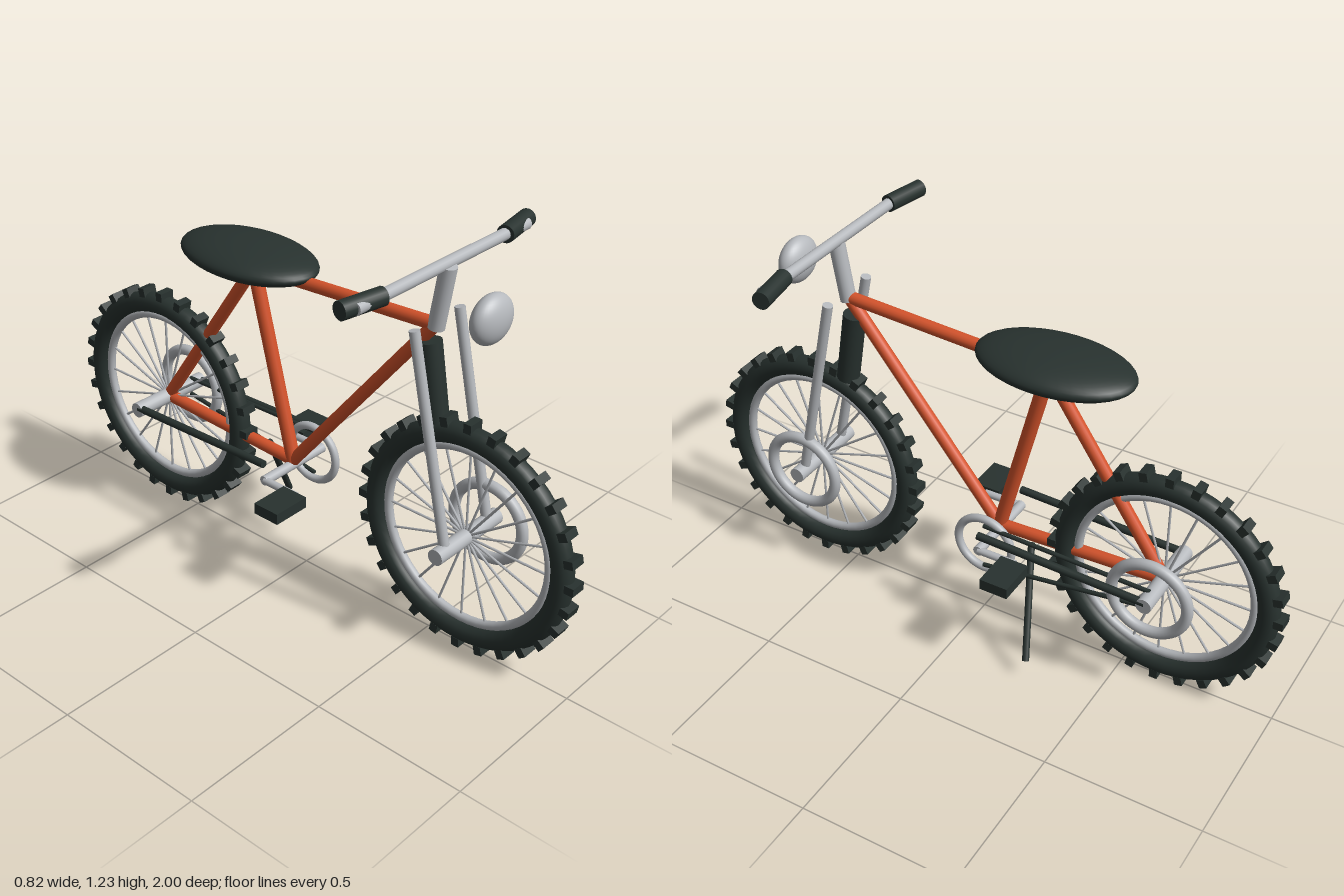
import * as THREE from 'three';

export function createModel() {
  const bike = new THREE.Group();
  bike.name = 'bicycle';

  const makeMaterial = (name, color) => {
    const m = new THREE.MeshStandardMaterial({ color });
    m.name = name;
    return m;
  };
  const rubber = makeMaterial('dark rubber', 0x28322f);
  const paint = makeMaterial('orange paint', 0xd4532b);
  const metal = makeMaterial('light metal', 0xb6b9bd);

  const add = (parent, name, geometry, material, x = 0, y = 0, z = 0) => {
    const mesh = new THREE.Mesh(geometry, material);
    mesh.name = name;
    mesh.position.set(x, y, z);
    parent.add(mesh);
    return mesh;
  };
  // Round bar between two points
  const rod = (parent, name, from, to, radius, material, sides = 16) => {
    const a = new THREE.Vector3(...from);
    const b = new THREE.Vector3(...to);
    const d = b.clone().sub(a);
    const mesh = add(parent, name, new THREE.CylinderGeometry(radius, radius, d.length(), sides), material);
    mesh.position.copy(a).add(b).multiplyScalar(0.5);
    mesh.quaternion.setFromUnitVectors(new THREE.Vector3(0, 1, 0), d.normalize());
    return mesh;
  };
  // Ring standing in the plane of the wheel
  const ring = (parent, name, radius, tube, material, x = 0, y = 0, z = 0) => {
    const mesh = add(parent, name, new THREE.TorusGeometry(radius, tube, 14, 56), material, x, y, z);
    mesh.rotation.y = Math.PI / 2;
    return mesh;
  };
  const ellipsoid = (name, rx, ry, rz, material, y, z) => {
    const g = new THREE.SphereGeometry(1, 36, 24).scale(rx, ry, rz);
    return add(bike, name, g, material, 0, y, z);
  };

  // Wheels with knobbly tyre, rim, spokes, hub and brake ring
  const axleY = 0.382;
  const axleZ = 0.618;
  for (const [name, z] of [['frontWheel', axleZ], ['rearWheel', -axleZ]]) {
    const wheel = new THREE.Group();
    wheel.name = name;
    wheel.position.set(0, axleY, z);
    bike.add(wheel);
    ring(wheel, 'tyre', 0.33, 0.034, rubber);
    ring(wheel, 'rim', 0.287, 0.014, metal);
    ring(wheel, 'brakeRing', 0.122, 0.018, metal, 0.105);
    rod(wheel, 'hub', [-0.145, 0, 0], [0.145, 0, 0], 0.025, metal, 20);

    const knobs = 28;
    for (let i = 0; i < knobs; i++) {
      const a = (i / knobs) * Math.PI * 2;
      const knob = add(wheel, 'treadKnob', new THREE.BoxGeometry(0.052, 0.03, 0.026), rubber,
        0, Math.cos(a) * 0.367, Math.sin(a) * 0.367);
      knob.rotation.x = a;
    }
    const spokes = 20;
    for (let i = 0; i < spokes; i++) {
      const a = (i / spokes) * Math.PI * 2;
      rod(wheel, 'spoke', [0, 0, 0], [0, Math.cos(a) * 0.28, Math.sin(a) * 0.28], 0.004, metal, 6);
    }
  }

  // Frame
  const head = [0, 1.015, 0.475];
  const seatTop = [0, 0.975, -0.212];
  const bottom = [0, 0.36, -0.055];
  const rear = [0, axleY, -axleZ];
  rod(bike, 'topTube', head, seatTop, 0.02, paint);
  rod(bike, 'downTube', head, bottom, 0.02, paint);
  rod(bike, 'seatTube', bottom, seatTop, 0.022, paint);
  rod(bike, 'seatStay', seatTop, rear, 0.02, paint);
  rod(bike, 'chainStay', bottom, rear, 0.02, paint);

  // Fork, suspension and steering
  for (const side of [-1, 1]) {
    rod(bike, 'forkLeg', [side * 0.1, axleY, axleZ], [side * 0.1, 1.035, 0.48], 0.016, metal);
  }
  rod(bike, 'suspensionUnit', [0, 0.722, 0.495], [0, 0.96, 0.457], 0.036, rubber, 20);
  rod(bike, 'stem', [0, 1.005, 0.477], [0, 1.2, 0.51], 0.025, metal, 20);
  rod(bike, 'handlebar', [-0.37, 1.203, 0.5], [0.37, 1.203, 0.5], 0.018, metal);
  for (const side of [-1, 1]) {
    rod(bike, 'grip', [side * 0.265, 1.203, 0.502], [side * 0.405, 1.203, 0.477], 0.027, rubber, 20);
  }

  // Seat and headlight
  ellipsoid('seat', 0.152, 0.05, 0.25, rubber, 1.007, -0.232);
  ellipsoid('headlight', 0.081, 0.073, 0.043, metal, 1.092, 0.657);

  // Pedals and cranks
  const crankY = 0.345;
  const crankZ = -0.055;
  ring(bike, 'chainring', 0.094, 0.013, metal, 0.092, crankY, crankZ);
  rod(bike, 'crankAxle', [-0.135, crankY, crankZ], [0.135, crankY, crankZ], 0.016, metal);
  for (const side of [-1, 1]) {
    const pedalZ = crankZ - side * 0.13;
    rod(bike, 'crankArm', [side * 0.13, crankY, crankZ], [side * 0.13, crankY, pedalZ], 0.012, metal);
    add(bike, 'pedal', new THREE.BoxGeometry(0.128, 0.036, 0.093), rubber, side * 0.2, crankY, pedalZ);
    // Dark side stay
    rod(bike, 'sideStay', [side * 0.134, 0.405, crankZ], [side * 0.134, 0.387, -axleZ], 0.0125, rubber);
  }

  // Chain runs
  rod(bike, 'upperChain', [0.1, 0.42, crankZ], [0.1, 0.405, -axleZ], 0.007, rubber, 8);
  rod(bike, 'lowerChain', [0.1, 0.267, crankZ], [0.1, 0.345, -axleZ], 0.007, rubber, 8);

  // Kickstand
  rod(bike, 'kickstand', [0.03, 0.36, -0.185], [0.217, 0.06, -0.275], 0.011, rubber, 12);

  return bike;
}
